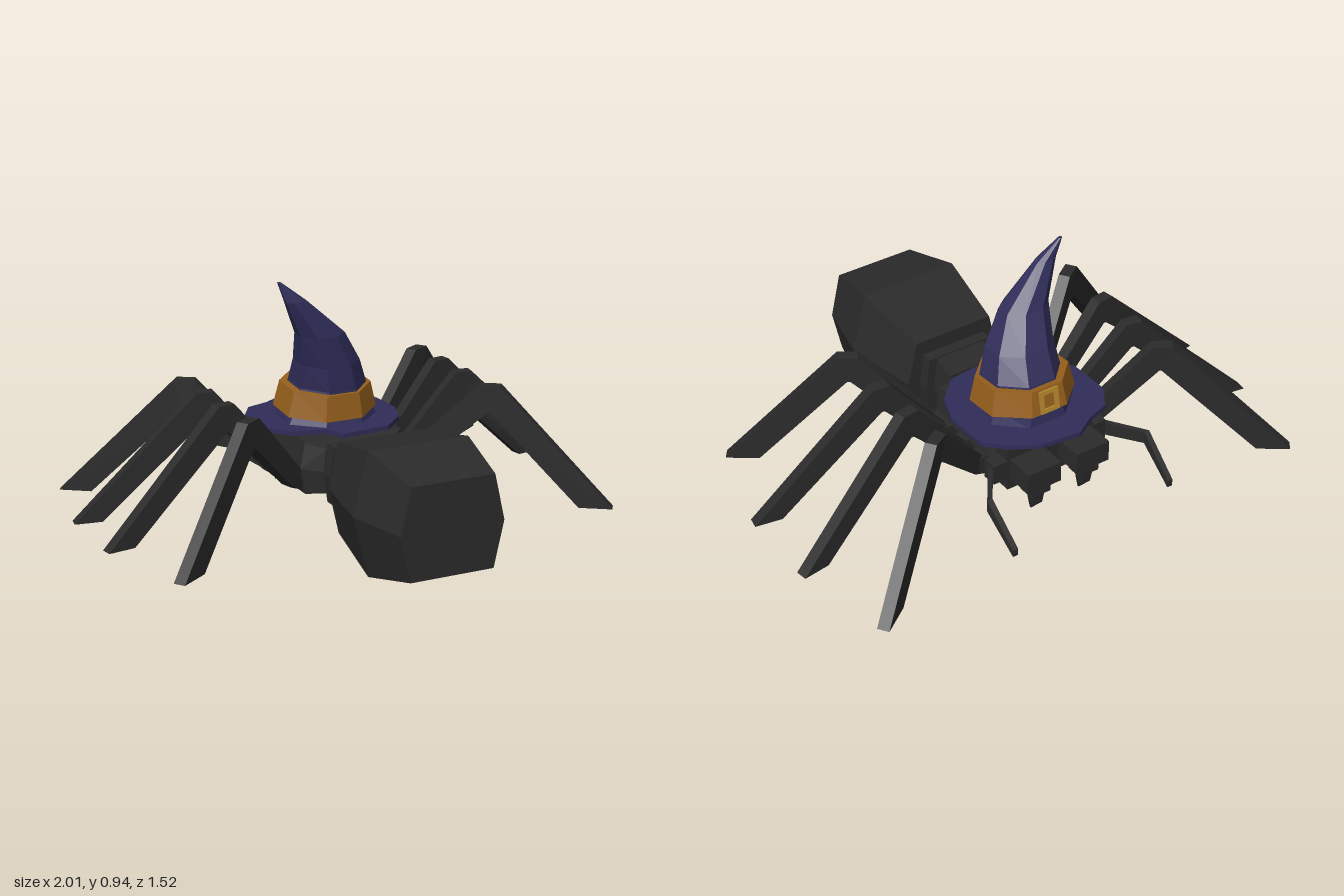
import * as THREE from 'three';

const mat = (name, color) => {
  const m = new THREE.MeshStandardMaterial({ color, flatShading: true });
  m.name = name;
  return m;
};
const V = (x, y, z) => new THREE.Vector3(x, y, z);

// Skin a list of equal-sized rings, close both ends, and make the faces point outward
function loft(rings) {
  const tris = [];
  const n = rings[0].length;
  for (let i = 0; i < rings.length - 1; i++) {
    for (let j = 0; j < n; j++) {
      const k = (j + 1) % n, a = rings[i], b = rings[i + 1];
      tris.push([a[j], a[k], b[k]], [a[j], b[k], b[j]]);
    }
  }
  const cap = (ring, flip) => {
    const c = ring.reduce((s, p) => s.add(p), V(0, 0, 0)).divideScalar(n);
    for (let j = 0; j < n; j++) {
      const p = ring[j], q = ring[(j + 1) % n];
      tris.push(flip ? [c, q, p] : [c, p, q]);
    }
  };
  cap(rings[0], true);
  cap(rings[rings.length - 1], false);
  const o = rings[0][0];
  let volume = 0;
  for (const [a, b, c] of tris) {
    volume += a.clone().sub(o).dot(b.clone().sub(o).cross(c.clone().sub(o)));
  }
  const pos = [];
  for (const [a, b, c] of tris) {
    for (const p of volume < 0 ? [a, c, b] : [a, b, c]) pos.push(p.x, p.y, p.z);
  }
  const g = new THREE.BufferGeometry();
  g.setAttribute('position', new THREE.Float32BufferAttribute(pos, 3));
  g.computeVertexNormals();
  return g;
}

// Six-sided body section across z
const hex = (z, edge, mid, y0, y1) => {
  const ym = (y0 + y1) / 2;
  return [V(-edge, y0, z), V(edge, y0, z), V(mid, ym, z), V(edge, y1, z), V(-edge, y1, z), V(-mid, ym, z)];
};

// Horizontal eight-sided hat section, raised slightly towards the back
const hatRing = (x, y, z, rx, rz, tilt = 0.09) =>
  Array.from({ length: 8 }, (_, i) => {
    const a = (i + 0.5) * Math.PI / 4;
    const dz = Math.sin(a) * rz;
    return V(x + Math.cos(a) * rx, y - dz * tilt, z + dz);
  });

export function createModel() {
  const model = new THREE.Group();
  const black = mat('body black', 0x2b2b2b);
  const purple = mat('hat purple', 0x302d5a);
  const orange = mat('band orange', 0x96601c);
  const gold = mat('buckle gold', 0xb58a2c);

  const add = (name, geo, material, parent = model) => {
    const m = new THREE.Mesh(geo, material);
    m.name = name;
    parent.add(m);
    return m;
  };
  const block = (name, x0, x1, y0, y1, z0, z1, material, parent) => {
    const m = add(name, new THREE.BoxGeometry(x1 - x0, y1 - y0, z1 - z0), material, parent);
    m.position.set((x0 + x1) / 2, (y0 + y1) / 2, (z0 + z1) / 2);
    return m;
  };

  // Abdomen
  add('abdomen', loft([
    hex(0.19, 0.165, 0.205, 0.06, 0.41),
    hex(0.5, 0.2, 0.26, 0, 0.47),
    hex(0.755, 0.165, 0.205, 0.06, 0.41),
  ]), black);

  // Waist segments: z start, z end, half width, bottom, top
  [[0.145, 0.2, 0.155, 0.09, 0.35], [0.11, 0.15, 0.118, 0.11, 0.345],
    [0.07, 0.115, 0.135, 0.09, 0.35], [0.02, 0.075, 0.145, 0.12, 0.35]]
    .forEach(([z0, z1, w, y0, y1]) =>
      add('waistSegment', loft([hex(z0, w * 0.88, w, y0, y1), hex(z1, w * 0.88, w, y0, y1)]), black));

  // Thorax and head
  add('thorax', loft([
    hex(0.035, 0.14, 0.15, 0.16, 0.33),
    hex(-0.02, 0.2, 0.22, 0.15, 0.35),
    hex(-0.35, 0.2, 0.22, 0.15, 0.35),
    hex(-0.4, 0.16, 0.18, 0.16, 0.34),
  ]), black);
  block('head', -0.19, 0.19, 0.15, 0.33, -0.45, -0.36, black);

  // Legs: plan positions of hip, knee and foot
  const plans = [
    [[0.2, -0.31], [0.5, -0.45], [0.91, -0.745]],
    [[0.2, -0.215], [0.5, -0.268], [1.0, -0.345]],
    [[0.2, -0.11], [0.5, -0.082], [1.0, 0.0]],
    [[0.2, -0.06], [0.5, 0.14], [0.885, 0.41]],
  ];
  const leg = (side, [hip, knee, foot]) => {
    const zAt = (x) => {
      const [a, b] = x < knee[0] ? [hip, knee] : [knee, foot];
      return a[1] + (b[1] - a[1]) * (x - a[0]) / (b[0] - a[0]);
    };
    const fx = foot[0];
    // Upper edge and lower edge of each section
    const stations = [
      [[0.2, 0.215], [0.23, 0.17]], [[0.25, 0.275], [0.285, 0.205]], [[0.465, 0.525], [0.49, 0.42]],
      [[0.53, 0.525], [0.5, 0.42]], [[fx, 0.06], [fx - 0.105, 0.06]],
    ];
    return loft(stations.map(([up, low], i) => {
      const [a, b] = i < 3 ? [hip, knee] : [knee, foot];
      const len = Math.hypot(b[0] - a[0], b[1] - a[1]);
      const nx = -(b[1] - a[1]) / len * 0.023, nz = (b[0] - a[0]) / len * 0.023;
      const p = ([x, y], s) => V(side * (x + s * nx), y, zAt(x) + s * nz);
      return [p(up, 1), p(up, -1), p(low, -1), p(low, 1)];
    }));
  };

  for (const side of [1, -1]) {
    const tag = side > 0 ? 'left' : 'right';
    const sideBlock = (name, x0, x1, ...rest) =>
      block(name, Math.min(side * x0, side * x1), Math.max(side * x0, side * x1), ...rest, black);
    plans.forEach((plan, i) => {
      add(`${tag}Leg${i + 1}`, leg(side, plan), black);
      const z = plan[0][1] - (i === 0 ? 0.02 : 0);
      sideBlock(`${tag}LegSocket${i + 1}`, 0.19, 0.25, 0.19, 0.26, z - 0.03, z + 0.03);
    });

    // Jaws with fangs
    sideBlock(`${tag}Jaw`, 0.035, 0.18, 0.2, 0.285, -0.565, -0.43);
    sideBlock(`${tag}JawTip`, 0.065, 0.15, 0.155, 0.21, -0.545, -0.475);
    const sq = (y, z, r) => [V(side * 0.108 - r, y, z - r), V(side * 0.108 + r, y, z - r),
      V(side * 0.108 + r, y, z + r), V(side * 0.108 - r, y, z + r)];
    add(`${tag}Fang`, loft([sq(0.16, -0.51, 0.025), sq(0.1, -0.51, 0.018), sq(0.055, -0.485, 0.003)]), black);

    // Feelers beside the jaws
    sideBlock(`${tag}FeelerSocket`, 0.17, 0.25, 0.2, 0.28, -0.45, -0.39);
    const feeler = [[0.23, 0.235, -0.4, 0.028], [0.35, 0.235, -0.57, 0.025], [0.345, 0.12, -0.725, 0.014]];
    add(`${tag}Feeler`, loft(feeler.map(([x, y, z, h]) => [
      V(side * (x - 0.011), y - h, z), V(side * (x + 0.011), y - h, z),
      V(side * (x + 0.011), y + h, z), V(side * (x - 0.011), y + h, z)])), black);
  }

  // Hat
  const hat = new THREE.Group();
  hat.name = 'hat';
  model.add(hat);
  const brim = [[-0.06, -0.55], [0.1, -0.53], [0.2, -0.47], [0.27, -0.4], [0.28, -0.22], [0.24, -0.11],
    [0.15, -0.02], [-0.05, 0], [-0.08, -0.08], [-0.21, -0.11], [-0.28, -0.21], [-0.285, -0.38],
    [-0.23, -0.47], [-0.14, -0.5]];
  add('brim', loft([0.352, 0.37].map((y) => brim.map(([x, z]) => V(x, y, z)))), purple, hat);
  add('crown', loft([
    hatRing(0, 0.365, -0.262, 0.2, 0.185, 0),
    hatRing(0, 0.42, -0.262, 0.175, 0.17),
    hatRing(0.005, 0.51, -0.256, 0.148, 0.152),
    hatRing(-0.012, 0.6, -0.225, 0.128, 0.122),
    hatRing(-0.06, 0.72, -0.182, 0.098, 0.078),
    hatRing(-0.172, 0.86, -0.155, 0.045, 0.03),
    hatRing(-0.234, 0.935, -0.163, 0.007, 0.007, 0),
  ]), purple, hat);
  add('hatBand', loft([
    hatRing(0, 0.405, -0.268, 0.2, 0.188),
    hatRing(0, 0.503, -0.262, 0.175, 0.172),
  ]), orange, hat);

  // Square buckle frame on the back of the band
  const buckle = new THREE.Group();
  buckle.name = 'buckle';
  for (const s of [-1, 1]) {
    block('buckleSide', s * 0.032 - 0.008, s * 0.032 + 0.008, -0.045, 0.045, -0.005, 0.005, gold, buckle);
    block('buckleBar', -0.04, 0.04, s * 0.037 - 0.008, s * 0.037 + 0.008, -0.005, 0.005, gold, buckle);
  }
  buckle.position.set(0, 0.468, -0.436);
  buckle.rotation.x = 0.16;
  hat.add(buckle);

  return model;
}
